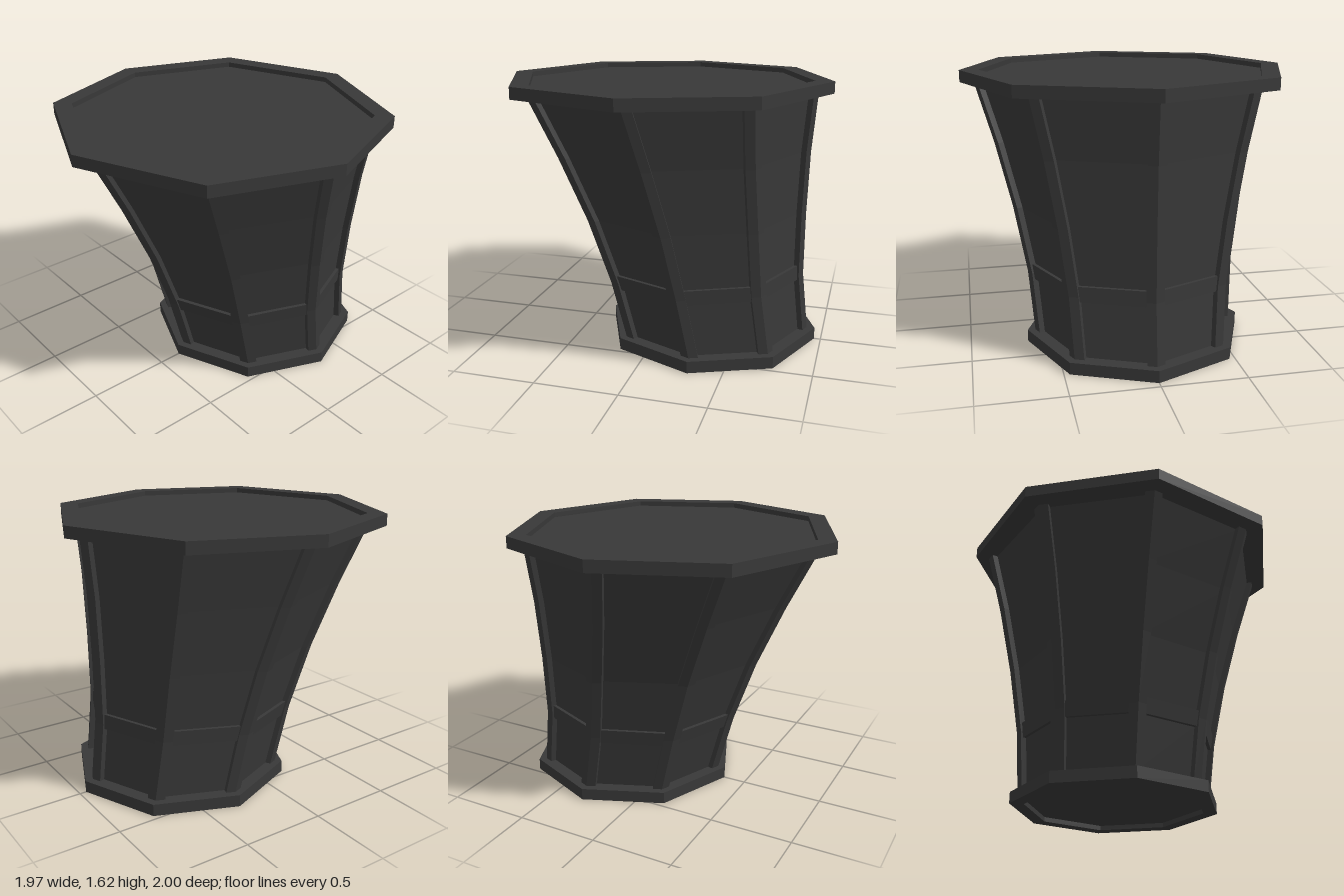
import * as THREE from 'three';

const SIDES = 8;
const STEP = (Math.PI * 2) / SIDES;

// Corner radius and z centre of the flaring, leaning body at given heights.
const PROFILE = [
  { y: 0.06, r: 0.613, z: -0.30 },
  { y: 0.43, r: 0.642, z: -0.23 },
  { y: 0.82, r: 0.712, z: -0.16 },
  { y: 1.20, r: 0.803, z: -0.08 },
  { y: 1.56, r: 0.908, z: -0.004 },
];

function bodyAt(y) {
  let i = 0;
  while (i < PROFILE.length - 2 && y > PROFILE[i + 1].y) i++;
  const a = PROFILE[i], b = PROFILE[i + 1];
  const t = (y - a.y) / (b.y - a.y);
  return { y, r: a.r + (b.r - a.r) * t, z: a.z + (b.z - a.z) * t };
}

// Joins equal-length closed loops of points into a skin.
function loft(rings, closed = false) {
  const n = rings[0].length;
  const pos = rings.flat().flatMap((p) => [p.x, p.y, p.z]);
  const index = [];
  const count = closed ? rings.length : rings.length - 1;
  for (let i = 0; i < count; i++) {
    const lo = i * n, hi = ((i + 1) % rings.length) * n;
    for (let j = 0; j < n; j++) {
      const k = (j + 1) % n;
      index.push(lo + j, lo + k, hi + k, lo + j, hi + k, hi + j);
    }
  }
  const geo = new THREE.BufferGeometry();
  geo.setAttribute('position', new THREE.Float32BufferAttribute(pos, 3));
  geo.setIndex(index);
  const flat = geo.toNonIndexed();
  flat.computeVertexNormals();
  return flat;
}

// Octagon with corners to the front, back and sides.
function octagon(r, y, zc = 0, tilt = 0) {
  return Array.from({ length: SIDES }, (_, k) => {
    const z = r * Math.cos(k * STEP);
    return new THREE.Vector3(r * Math.sin(k * STEP), y - tilt * z, z + zc);
  });
}

// The top board's octagon is slightly wider at its diagonal corners.
function topOctagon(s, y) {
  return octagon(s, y).map((p, k) => {
    const diagonal = k % 2 === 1;
    return new THREE.Vector3(p.x * (diagonal ? 1.04 : 1) * 0.985, y, p.z * (diagonal ? 0.98 : 1));
  });
}

// V-shaped strip section that wraps one corner of the body.
function postSection(level, k) {
  const arm = 0.056, depth = 0.05, thick = 0.04;
  const inward = arm * Math.sin(STEP / 2), across = arm * Math.cos(STEP / 2);
  const a = k * STEP;
  return [
    [-inward, -across], [0, 0], [-inward, across],
    [-inward - thick, across - 0.012], [-depth, 0], [-inward - thick, -across + 0.012],
  ].map(([u, t]) => new THREE.Vector3(
    (level.r + u) * Math.sin(a) + t * Math.cos(a),
    level.y,
    (level.r + u) * Math.cos(a) - t * Math.sin(a) + level.z,
  ));
}

export function createModel() {
  const model = new THREE.Group();
  const material = new THREE.MeshStandardMaterial({ color: 0x383838, flatShading: true });
  const add = (name, geometry, parent = model) => {
    const mesh = new THREE.Mesh(geometry, material);
    mesh.name = name;
    parent.add(mesh);
  };

  // Base plinth with a shallow recess underneath
  const baseZ = -0.3;
  add('basePlinth', loft([
    octagon(0, 0.03, baseZ), octagon(0.57, 0.03, baseZ), octagon(0.57, 0, baseZ),
    octagon(0.66, 0, baseZ), octagon(0.66, 0.072, baseZ), octagon(0.45, 0.072, baseZ),
  ]));

  // Panelled body walls
  add('bodyWalls', loft(PROFILE.map((p) => octagon(p.r - 0.036, p.y, p.z))));

  // Corner strips
  const posts = new THREE.Group();
  posts.name = 'cornerPosts';
  for (let k = 0; k < SIDES; k++) {
    add('cornerPost', loft(PROFILE.map((p) => postSection(p, k))), posts);
  }
  model.add(posts);

  // Horizontal band around the lower body
  const low = bodyAt(0.392), high = bodyAt(0.482);
  const bandRing = (p, inset) => octagon(p.r - inset, p.y, p.z, 0.016);
  add('lowerBand', loft([
    bandRing(low, 0.06), bandRing(low, 0.014), bandRing(high, 0.014), bandRing(high, 0.06),
  ], true));

  // Top board: raised rim around a sunken panel
  add('topBoard', loft([
    topOctagon(0.7, 1.545), topOctagon(1, 1.545), topOctagon(1, 1.615),
    topOctagon(0.887, 1.615), topOctagon(0.887, 1.585), topOctagon(0, 1.585),
  ]));

  return model;
}
